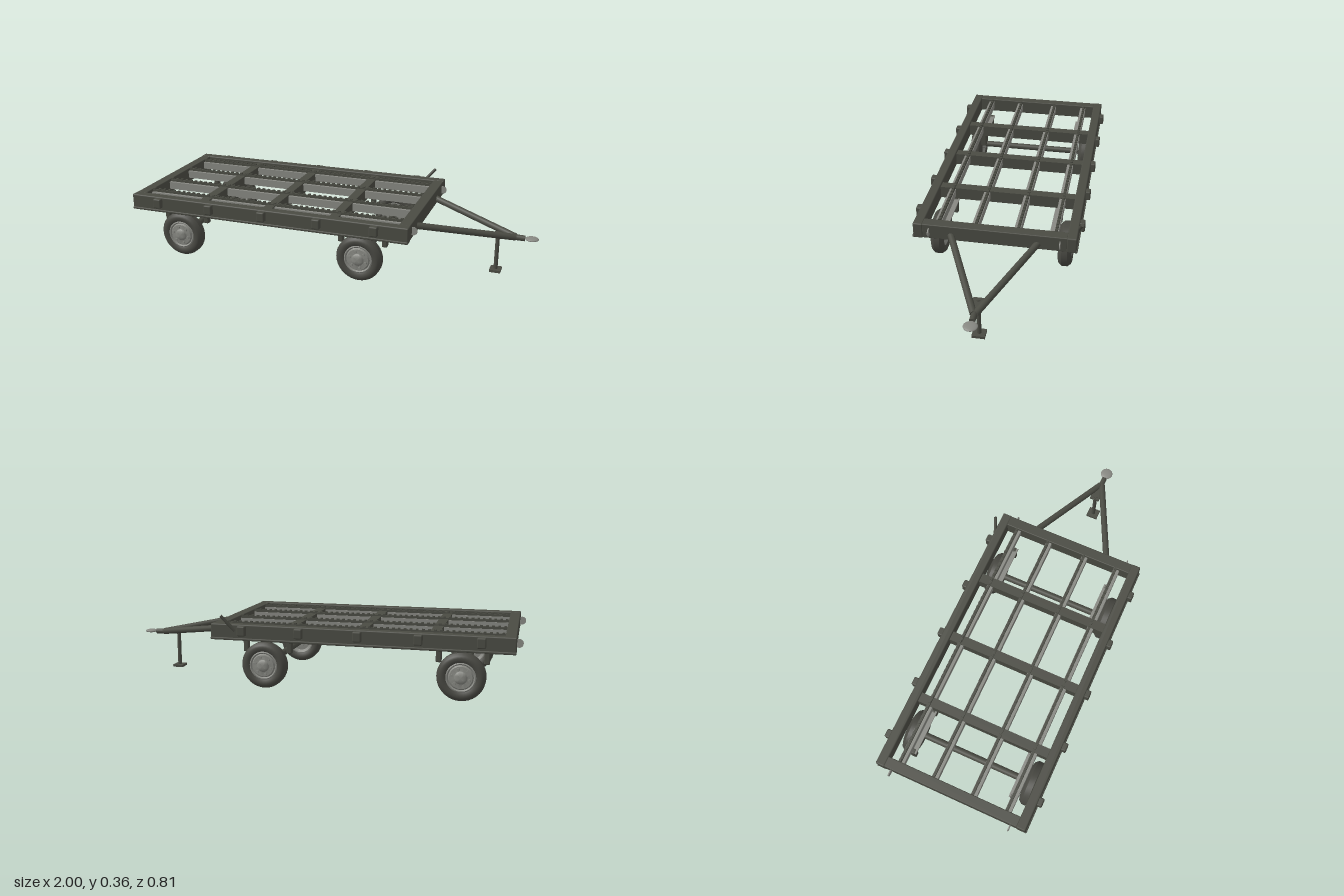
import * as THREE from 'three';
import { RoundedBoxGeometry } from 'three/addons/geometries/RoundedBoxGeometry.js';
import { toCreasedNormals } from 'three/addons/utils/BufferGeometryUtils.js';

export function createModel() {
  const paint = new THREE.MeshStandardMaterial({ color: 0x4a4b43 });
  paint.name = 'frame paint';
  const rubber = new THREE.MeshStandardMaterial({ color: 0x484842 });
  rubber.name = 'tyre rubber';
  const steel = new THREE.MeshStandardMaterial({ color: 0x878882 });
  steel.name = 'bare steel';

  const root = new THREE.Group();
  root.name = 'trailer';

  const add = (name, geo, mat, x = 0, y = 0, z = 0, parent = root) => {
    const m = new THREE.Mesh(geo, mat);
    m.name = name;
    m.position.set(x, y, z);
    parent.add(m);
    return m;
  };
  // box given by its limits on each axis
  const box = (name, mat, x0, x1, y0, y1, z0, z1, r = 0) => {
    const s = [x1 - x0, y1 - y0, z1 - z0];
    const geo = r ? new RoundedBoxGeometry(...s, 2, r) : new THREE.BoxGeometry(...s);
    return add(name, geo, mat, (x0 + x1) / 2, (y0 + y1) / 2, (z0 + z1) / 2);
  };
  // round bar between two points
  const bar = (name, mat, a, b, r) => {
    const A = new THREE.Vector3(...a), B = new THREE.Vector3(...b);
    const d = B.clone().sub(A);
    const m = add(name, new THREE.CylinderGeometry(r, r, d.length(), 16), mat);
    m.position.copy(A).add(B).multiplyScalar(0.5);
    m.quaternion.setFromUnitVectors(new THREE.Vector3(0, 1, 0), d.normalize());
    return m;
  };
  const lathe = (pts, seg = 32) => toCreasedNormals(
    new THREE.LatheGeometry(pts.map(p => new THREE.Vector2(...p)), seg), 0.6);

  // Deck frame
  for (const s of [-1, 1]) {
    const span = (a, b) => (s > 0 ? [a, b] : [-b, -a]);
    box('sideRail', paint, -0.97, 0.46, 0.238, 0.315, ...span(0.337, 0.383), 0.006);
    box('sideRailLip', paint, -0.97, 0.46, 0.238, 0.25, ...span(0.345, 0.388), 0.004);
    for (let i = 0; i < 5; i++) {
      const x = -0.82 + i * 0.28;
      box('stakePocket', paint, x - 0.02, x + 0.02, 0.262, 0.31, ...span(0.375, 0.406), 0.006);
    }
    // Tie-down eyes at both ends
    for (const x of [-0.978, 0.464]) {
      add('tieEye', new THREE.CylinderGeometry(0.02, 0.02, 0.005, 20), steel, x, 0.277, s * 0.307)
        .rotation.x = Math.PI / 2;
    }
  }
  box('rearBeam', paint, -0.968, -0.918, 0.24, 0.314, -0.34, 0.34, 0.004);
  box('frontBeam', paint, 0.405, 0.458, 0.24, 0.314, -0.34, 0.34, 0.004);
  for (const x of [-0.6, -0.258, 0.083]) {
    box('crossBeam', paint, x - 0.023, x + 0.023, 0.245, 0.305, -0.34, 0.34);
  }

  // Cargo rails with toothed strips
  for (const z of [-0.275, -0.1, 0.1, 0.275]) {
    box('cargoRail', steel, -0.925, 0.415, 0.262, 0.3, z - 0.016, z + 0.014);
    box('toothStrip', paint, -0.93, 0.42, 0.298, 0.311, z - 0.013, z);
    const count = 48;
    const teeth = new THREE.InstancedMesh(new THREE.BoxGeometry(0.012, 0.007, 0.011), paint, 0);
    for (let i = 0; i < count; i++) {
      add('tooth', teeth.geometry, paint, -0.91 + i * (1.31 / (count - 1)), 0.3135, z - 0.0075);
    }
  }

  // Wheels, axles and hangers
  const tyreGeo = lathe([[0.066, -0.024], [0.076, -0.031], [0.09, -0.033], [0.1, -0.029], [0.112, -0.014],
    [0.112, 0.014], [0.1, 0.029], [0.09, 0.033], [0.076, 0.031], [0.066, 0.024]], 36);
  const rimGeo = lathe([[0, -0.022], [0.05, -0.018], [0.064, -0.027], [0.07, -0.026], [0.07, 0.026],
    [0.064, 0.029], [0.058, 0.022], [0.052, 0.03], [0.03, 0.031], [0.025, 0.037], [0.014, 0.041], [0, 0.042]]);
  const nutGeo = new THREE.CylinderGeometry(0.007, 0.007, 0.014, 6);
  const drumGeo = new THREE.CylinderGeometry(0.028, 0.028, 0.02, 24);
  for (const x of [-0.73, 0.21]) {
    bar('axle', paint, [x, 0.112, -0.285], [x, 0.112, 0.285], 0.0165);
    for (const s of [-1, 1]) {
      const wheel = new THREE.Group();
      wheel.name = 'wheel';
      wheel.position.set(x, 0.112, s * 0.315);
      wheel.rotation.x = s * Math.PI / 2;
      root.add(wheel);
      add('tyre', tyreGeo, rubber, 0, 0, 0, wheel);
      add('rim', rimGeo, steel, 0, 0, 0, wheel);
      add('hubDrum', drumGeo, steel, 0, -0.029, 0, wheel);
      for (let i = 0; i < 6; i++) {
        const a = i * Math.PI / 3 + 0.25;
        add('wheelNut', nutGeo, steel, 0.041 * Math.cos(a), 0.032, 0.041 * Math.sin(a), wheel);
      }
      const z0 = s > 0 ? 0.25 : -0.28;
      for (const d of [-0.11, 0.11]) {
        box('hanger', paint, x + d - 0.013, x + d + 0.013, 0.163, 0.245, z0, z0 + 0.03, 0.006);
      }
      const p0 = s > 0 ? 0.243 : -0.285;
      box('hangerPlate', steel, x - 0.12, x + 0.12, 0.236, 0.243, p0, p0 + 0.042);
    }
  }

  // Drawbar, coupling and support leg
  for (const s of [-1, 1]) {
    bar('drawbar', paint, [0.44, 0.266, s * 0.208], [0.89, 0.188, s * 0.004], 0.016);
  }
  bar('drawbarTip', paint, [0.865, 0.188, 0], [0.935, 0.186, 0], 0.014);
  add('couplingPad', new THREE.SphereGeometry(0.032, 24, 16), steel, 0.968, 0.187, 0)
    .scale.set(1, 0.27, 1);
  box('legBracket', paint, 0.79, 0.88, 0.186, 0.196, -0.025, 0.025);
  bar('supportLeg', paint, [0.807, 0.008, 0], [0.807, 0.2, 0], 0.01);
  box('supportFoot', paint, 0.78, 0.834, 0, 0.012, -0.03, 0.03);

  // Brake lever
  bar('brakeLever', paint, [0.338, 0.283, -0.378], [0.4, 0.356, -0.4], 0.008);

  return root;
}
